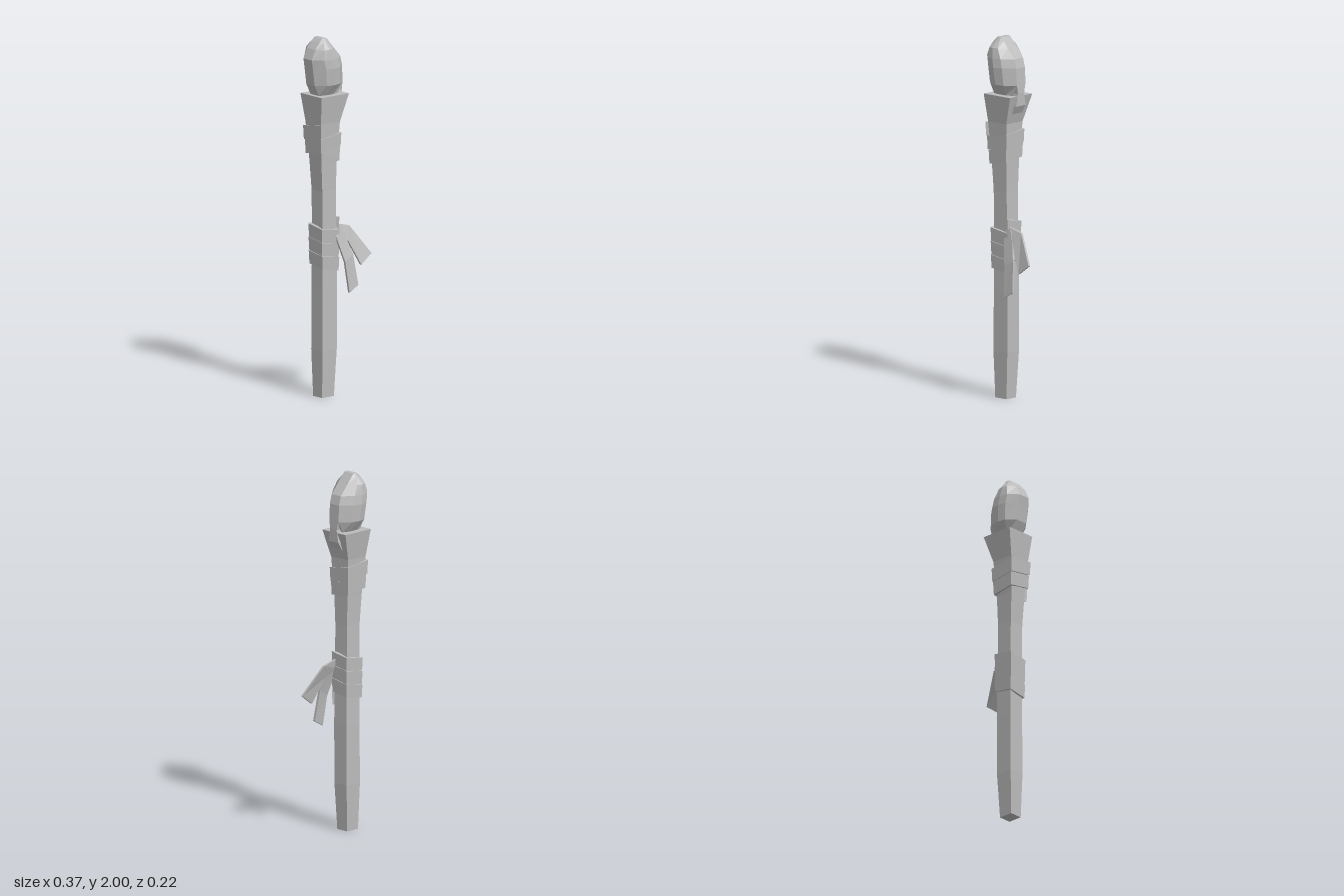
import * as THREE from 'three';

// Skin a list of closed rings (counter-clockwise seen from the end of the path), with caps
function loft(rings) {
  const pos = [];
  const n = rings[0].length;
  const tri = (a, b, c) => pos.push(...a, ...b, ...c);
  for (let r = 0; r < rings.length - 1; r++) {
    const lo = rings[r], hi = rings[r + 1];
    for (let i = 0; i < n; i++) {
      const j = (i + 1) % n;
      tri(lo[i], lo[j], hi[j]);
      tri(lo[i], hi[j], hi[i]);
    }
  }
  const first = rings[0], last = rings[rings.length - 1];
  for (let i = 1; i < n - 1; i++) {
    tri(first[0], first[i + 1], first[i]);
    tri(last[0], last[i], last[i + 1]);
  }
  const g = new THREE.BufferGeometry();
  g.setAttribute('position', new THREE.Float32BufferAttribute(pos, 3));
  g.computeVertexNormals();
  return g;
}

// Horizontal rectangle: front left, front right, back right, back left
const rect = ([y, x0, x1, z0, z1]) => [[x0, y, z1], [x1, y, z1], [x1, y, z0], [x0, y, z0]];

// Strap wound around the square shaft; bounds are [x0, x1, z0, z1] at the low and high ends
function wrap({ y, pitch, width, turns, start, dir, low, high }) {
  const rings = [];
  const steps = turns * 4;
  for (let s = 0; s <= steps; s++) {
    const corner = (((start + dir * s) % 4) + 4) % 4;
    const yb = y + (pitch * s) / 4;
    const [x0, x1, z0, z1] = low.map((v, i) => v + (high[i] - v) * (s / steps));
    const sx = corner === 1 || corner === 2 ? 1 : -1;
    const sz = corner < 2 ? 1 : -1;
    const at = (inset, py) => [(sx > 0 ? x1 : x0) - sx * inset, py, (sz > 0 ? z1 : z0) - sz * inset];
    const ring = [at(0.003, yb), at(0.025, yb), at(0.025, yb + width), at(0, yb + width)];
    rings.push(dir > 0 ? ring : ring.reverse());
  }
  return loft(rings);
}

// Cloth strip from rows of [left x, left y, left z, right x, right y, right z], bottom to top
function ribbon(rows, t = 0.013) {
  return loft(rows.map(([ax, ay, az, bx, by, bz]) => [
    [ax, ay, az], [bx, by, bz], [bx, by, bz - t], [ax, ay, az - t],
  ]));
}

// Ten-sided gem ring with flat side bands and a ridge at front and back
function gemRing([y, x0, x1, h]) {
  const zc = -0.01, band = Math.min(0.035, h * 0.9);
  const shoulder = band + (h - band) * 0.84;
  const xl = x0 + (x1 - x0) * 0.24, xr = x0 + (x1 - x0) * 0.72, xm = x0 + (x1 - x0) * 0.46;
  return [
    [x0, band], [xl, shoulder], [xm, h], [xr, shoulder], [x1, band],
    [x1, -band], [xr, -shoulder], [xm, -h], [xl, -shoulder], [x0, -band],
  ].map(([x, z]) => [x, y, zc + z]);
}

export function createModel() {
  const model = new THREE.Group();
  model.name = 'staff';
  const grey = new THREE.MeshStandardMaterial({ color: 0xbcbcbc });
  grey.name = 'plain grey';
  const add = (name, geometry) => {
    const mesh = new THREE.Mesh(geometry, grey);
    mesh.name = name;
    model.add(mesh);
  };

  // Square shaft flaring into the head: y, x range, z range
  add('shaft', loft([
    [0, -0.118, -0.035, -0.043, 0.033],
    [0.26, -0.124, -0.021, -0.052, 0.041],
    [0.6, -0.121, -0.019, -0.052, 0.041],
    [0.95, -0.121, -0.025, -0.05, 0.04],
    [1.15, -0.123, -0.027, -0.05, 0.04],
    [1.32, -0.134, -0.024, -0.056, 0.045],
    [1.53, -0.148, -0.013, -0.072, 0.058],
    [1.685, -0.161, 0.034, -0.099, 0.079],
  ].map(rect)));

  // Faceted gem: y, x range, half depth
  add('gem', loft([
    [1.66, -0.125, -0.01, 0.04],
    [1.685, -0.135, 0.0, 0.05],
    [1.745, -0.165, 0.034, 0.09],
    [1.84, -0.178, 0.03, 0.098],
    [1.89, -0.186, 0.016, 0.094],
    [1.945, -0.16, -0.033, 0.084],
    [1.98, -0.13, -0.063, 0.052],
    [2.0, -0.108, -0.08, 0.037],
  ].map(gemRing)));

  // Small prong running from the gem out of the side of the head
  add('prong', loft([
    [1.585, -0.04, 0.008, -0.045, 0.03],
    [1.63, -0.04, 0.034, -0.045, 0.03],
    [1.7, -0.04, 0.036, -0.032, 0.018],
    [1.755, -0.04, 0.034, -0.045, 0.025],
  ].map(rect)));

  // Wound straps
  add('upperWrap', wrap({
    y: 1.295, pitch: 0.078, width: 0.077, turns: 2, start: 0, dir: 1,
    low: [-0.144, -0.014, -0.07, 0.058], high: [-0.16, -0.003, -0.082, 0.067],
  }));
  add('lowerWrap', wrap({
    y: 0.7, pitch: 0.075, width: 0.074, turns: 3, start: 1, dir: -1,
    low: [-0.133, -0.012, -0.062, 0.052], high: [-0.137, -0.011, -0.062, 0.052],
  }));

  // Loose ends of the lower strap
  add('outerRibbon', ribbon([
    [0.11, 0.72, 0.094, 0.184, 0.775, 0.092],
    [0.042, 0.86, 0.062, 0.075, 0.935, 0.035],
    [-0.035, 0.9, 0.047, -0.03, 0.962, 0.035],
  ]));
  add('innerRibbon', ribbon([
    [0.015, 0.58, 0.107, 0.078, 0.615, 0.106],
    [0.0, 0.75, 0.088, 0.06, 0.785, 0.084],
    [-0.03, 0.87, 0.058, 0.03, 0.88, 0.058],
    [-0.045, 0.93, 0.042, 0.0, 0.955, 0.04],
  ]));

  return model;
}
